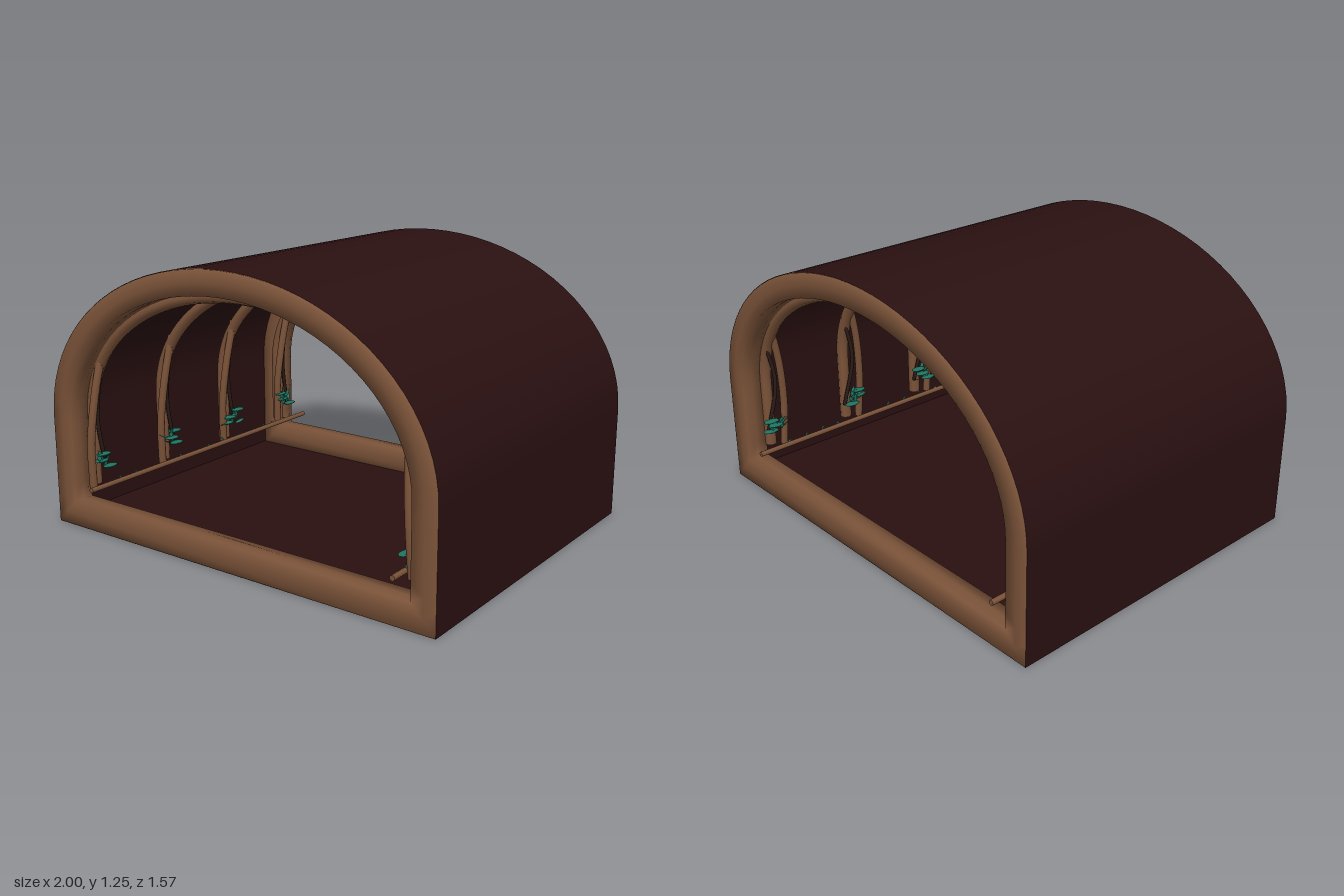
import * as THREE from 'three';

const FRONT = 0.787, BACK = -0.78;

// Arch outline, running from the lower left post over the crown to the other post
function arch(a, b, base, n = 40) {
  const pts = [];
  for (let i = 0; i < 5; i++) pts.push([a, base + (0.5 - base) * i / 5]);
  for (let i = 0; i <= n; i++) {
    const t = Math.PI * i / n;
    pts.push([a * Math.cos(t), 0.5 + b * Math.sin(t)]);
  }
  for (let i = 4; i >= 0; i--) pts.push([-a, base + (0.5 - base) * i / 5]);
  return pts;
}

// Skin a list of equal-length rings
function loft(rings, closed) {
  const n = rings[0].length, m = rings.length, pos = rings.flat(2), index = [];
  for (let k = 0; k < (closed ? m : m - 1); k++) {
    for (let j = 0; j < (closed ? n : n - 1); j++) {
      const a = k * n + j, b = k * n + (j + 1) % n;
      const c = ((k + 1) % m) * n + j, d = ((k + 1) % m) * n + (j + 1) % n;
      index.push(a, b, c, b, d, c);
    }
  }
  const g = new THREE.BufferGeometry();
  g.setAttribute('position', new THREE.Float32BufferAttribute(pos, 3));
  g.setIndex(index);
  g.computeVertexNormals();
  return g;
}

function material(name, color, side = THREE.FrontSide) {
  const m = new THREE.MeshStandardMaterial({ color, side });
  m.name = name;
  return m;
}

export function createModel() {
  const group = new THREE.Group();
  const wood = material('brown wood', 0x7b5339);
  const dark = material('dark maroon', 0x2a1011, THREE.DoubleSide);
  const teal = material('teal leaf', 0x1f7461, THREE.DoubleSide);
  const bark = material('dark bark', 0x2b1c17);

  let seed = 7;
  const rand = () => (seed = (seed * 16807) % 2147483647) / 2147483647;
  const add = (name, geo, mat, parent = group) => {
    const mesh = new THREE.Mesh(geo, mat);
    mesh.name = name;
    parent.add(mesh);
    return mesh;
  };
  const tube = (pts, r, seg) => new THREE.TubeGeometry(
    new THREE.CatmullRomCurve3(pts.map(p => new THREE.Vector3(...p))), seg, r, 8);

  // Thin vaulted shell and floor
  const outline = arch(1, 0.745, 0);
  add('vault', loft([BACK, FRONT - 0.002].map(z => outline.map(([x, y]) => [x, y, z]))), dark);
  const floor = add('floor', new THREE.BoxGeometry(2, 0.008, FRONT - 0.002 - BACK), dark);
  floor.position.set(0, 0.004, (FRONT - 0.002 + BACK) / 2);

  // Rounded frames around both openings
  const outer = arch(0.998, 0.743, 0.002), inner = arch(0.89, 0.637, 0.115);
  const section = [[0, 0], [0.5, 0], [1, 0], [1, -0.05], [1, -0.1], [0.5, -0.1], [0, -0.1], [0, -0.05]];
  const frameGeo = loft(section.map(([u, z]) => outer.map(([x, y], i) =>
    [x + (inner[i][0] - x) * u, y + (inner[i][1] - y) * u, z])), true);
  add('frontFrame', frameGeo, wood).position.z = FRONT;
  const backFrame = add('backFrame', frameGeo, wood);
  backFrame.rotation.y = Math.PI;
  backFrame.position.z = BACK - 0.001;

  // Pointed flat leaf
  const leafShape = new THREE.Shape();
  leafShape.moveTo(0, 0);
  leafShape.quadraticCurveTo(0.018, 0.025, 0, 0.06);
  leafShape.quadraticCurveTo(-0.018, 0.025, 0, 0);
  const leafGeo = new THREE.ShapeGeometry(leafShape, 4);
  const capGeo = new THREE.SphereGeometry(0.04, 10, 6);

  // Ribs, leaning struts and plants repeated along the length
  const ribPath = arch(0.888, 0.618, 0.17, 28);
  for (const z of [0.66, 0.22, -0.22, -0.66]) {
    add('rib', tube(ribPath.map(([x, y]) => [x, y, z]), 0.028, 72), wood);
    for (const s of [1, -1]) {
      add('strut', tube([[s * 0.85, 0.17, z + 0.05], [s * 0.84, 0.38, z + 0.06],
        [s * 0.822, 0.6, z + 0.04], [s * 0.808, 0.79, z]], 0.018, 14), wood);
      add('twig', tube([[s * 0.85, 0.25, z - 0.03], [s * 0.835, 0.5, z + 0.02],
        [s * 0.838, 0.72, z - 0.02]], 0.009, 10), bark);

      const plant = new THREE.Group();
      plant.name = 'plant';
      plant.position.set(s * 0.825, 0.24, z + 0.01);
      group.add(plant);
      for (let i = 0; i < 3; i++) {
        const cap = add('leafPad', capGeo, teal, plant);
        cap.position.set((rand() - 0.5) * 0.02, 0.02 + i * 0.03, (rand() - 0.5) * 0.08);
        cap.scale.set(0.6, 0.16, 1);
      }
      for (let i = 0; i < 7; i++) {
        const leaf = add('leaf', leafGeo, teal, plant);
        leaf.position.set(0, rand() * 0.06, (rand() - 0.5) * 0.05);
        leaf.rotation.set((rand() - 0.5) * 2.6, rand() * 6, (rand() - 0.5) * 0.8);
      }
    }
  }

  // Low rails with small leaves
  for (const s of [1, -1]) {
    const rail = add('rail', new THREE.CylinderGeometry(0.012, 0.012, 1.54, 8), wood);
    rail.rotation.x = Math.PI / 2;
    rail.position.set(s * 0.8, 0.18, 0);
    for (let i = 0; i < 14; i++) {
      const leaf = add('railLeaf', leafGeo, teal);
      leaf.scale.setScalar(0.5);
      leaf.position.set(s * 0.805, 0.185, 0.68 - i * 0.1);
      leaf.rotation.set((rand() - 0.5) * 2.4, rand() * 6, 0);
    }
  }
  return group;
}
